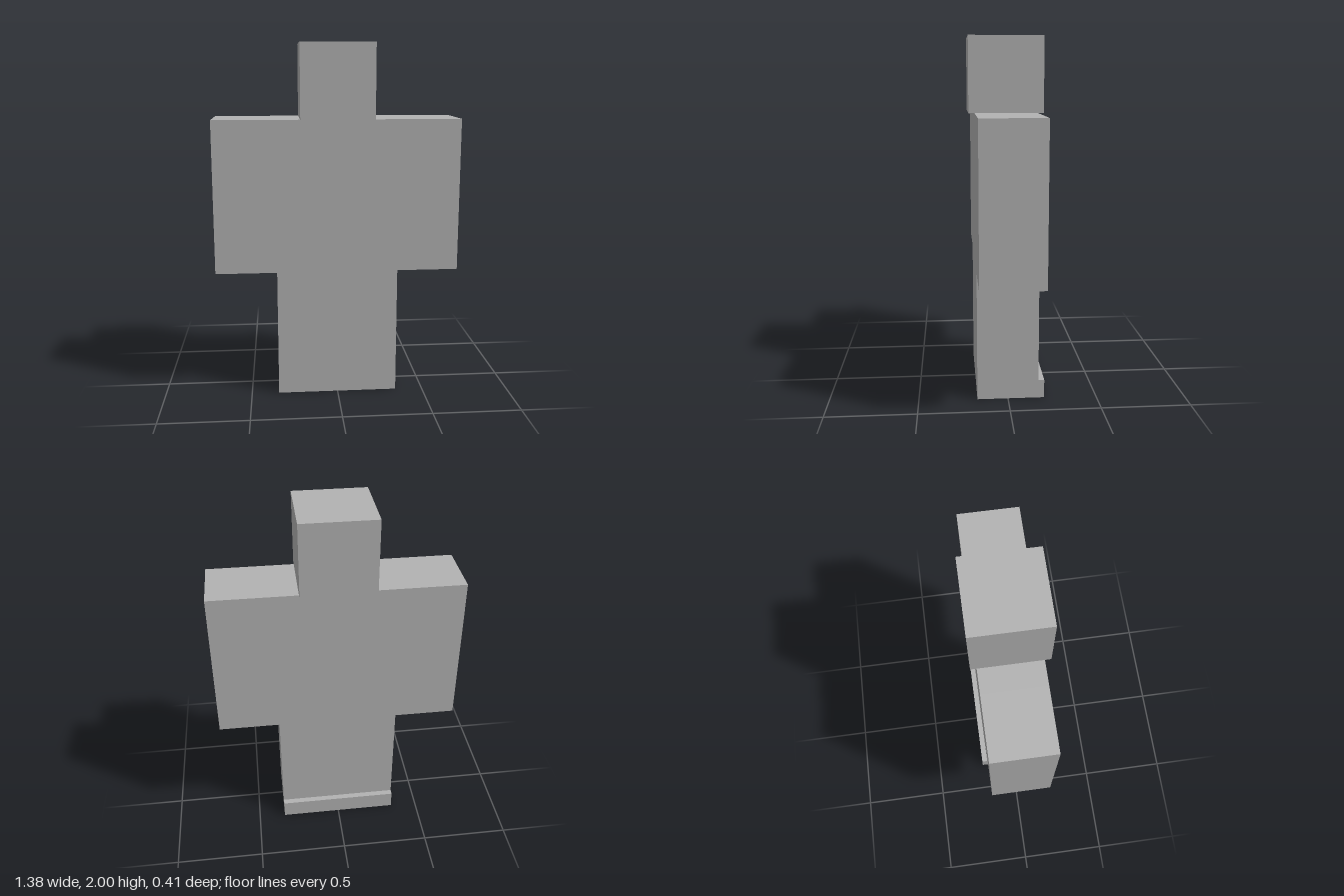
import * as THREE from 'three';

const grey = new THREE.MeshStandardMaterial({ color: 0xb2b2b2 });
grey.name = 'grey';

// Box given by its min and max corners
function block(name, [x0, y0, z0], [x1, y1, z1]) {
  const mesh = new THREE.Mesh(new THREE.BoxGeometry(x1 - x0, y1 - y0, z1 - z0), grey);
  mesh.position.set((x0 + x1) / 2, (y0 + y1) / 2, (z0 + z1) / 2);
  mesh.name = name;
  return mesh;
}

export function createModel() {
  const model = new THREE.Group();
  model.name = 'blockFigure';

  const hip = 0.729, neck = 1.588; // heights
  const half = 0.343, arm = 0.689; // half widths
  const depth = 0.172, head = 0.205; // half depths

  model.add(block('head', [-head, neck, -head], [head, 2, head]));
  model.add(block('torso', [-half, hip, -depth], [half, neck, depth]));

  // Arms and legs, mirrored
  for (const [side, s] of [['left', 1], ['right', -1]]) {
    const span = (a, b) => [Math.min(s * a, s * b), Math.max(s * a, s * b)];
    const [a0, a1] = span(half, arm);
    model.add(block(side + 'Arm', [a0, hip, -depth], [a1, neck, depth]));
    const [l0, l1] = span(0, half);
    model.add(block(side + 'Leg', [l0, 0, -depth], [l1, hip, depth]));
    // Low ledge along the back of the foot
    model.add(block(side + 'Heel', [l0, 0, -head], [l1, 0.104, -depth]));
  }
  return model;
}
